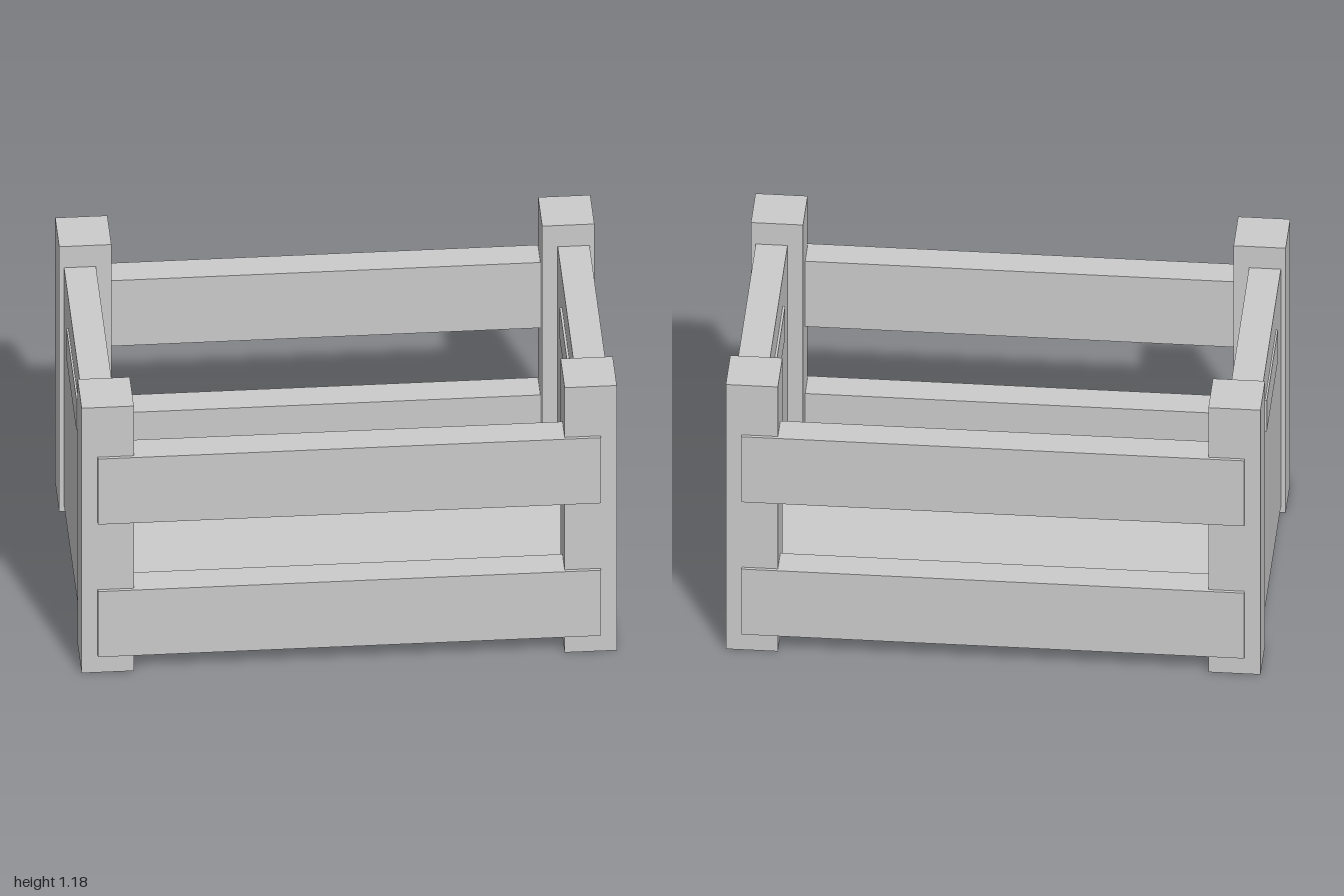
import * as THREE from 'three';

const material = new THREE.MeshStandardMaterial({ color: 0xcccccc });
const openMaterial = new THREE.MeshStandardMaterial({ color: 0xcccccc, side: THREE.DoubleSide });

// Box given by its minimum and maximum on each axis
function block(name, [x0, x1], [y0, y1], [z0, z1]) {
  const mesh = new THREE.Mesh(new THREE.BoxGeometry(x1 - x0, y1 - y0, z1 - z0), material);
  mesh.position.set((x0 + x1) / 2, (y0 + y1) / 2, (z0 + z1) / 2);
  mesh.name = name;
  return mesh;
}

// Range mirrored to the chosen side
const onSide = (side, inner, outer) => (side > 0 ? [inner, outer] : [-outer, -inner]);

export function createModel() {
  const crate = new THREE.Group();
  crate.name = 'crate';

  // Corner posts, hollow and open underneath
  for (const sx of [-1, 1]) {
    for (const sz of [-1, 1]) {
      const post = block('cornerPost', onSide(sx, 0.805, 1), [0, 1.185], onSide(sz, 0.447, 0.643));
      const index = Array.from(post.geometry.index.array);
      index.splice(18, 6); // bottom face
      post.geometry.setIndex(index);
      post.material = openMaterial;
      crate.add(post);
    }
  }

  // Two slats along the front and the back
  for (const sz of [-1, 1]) {
    for (const y of [0.077, 0.67]) {
      crate.add(block('slat', [-0.94, 0.94], [y, y + 0.293], onSide(sz, 0.537, 0.656)));
    }
  }

  // Solid end panels with a raised grip plate through each
  for (const sx of [-1, 1]) {
    crate.add(block('endPanel', onSide(sx, 0.863, 0.982), [0.028, 1.09], [-0.59, 0.59]));
    crate.add(block('gripPlate', onSide(sx, 0.854, 0.989), [0.82, 0.958], [-0.238, 0.238]));
  }

  // Floor board
  crate.add(block('floor', [-0.87, 0.87], [0.066, 0.185], [-0.537, 0.537]));

  return crate;
}
